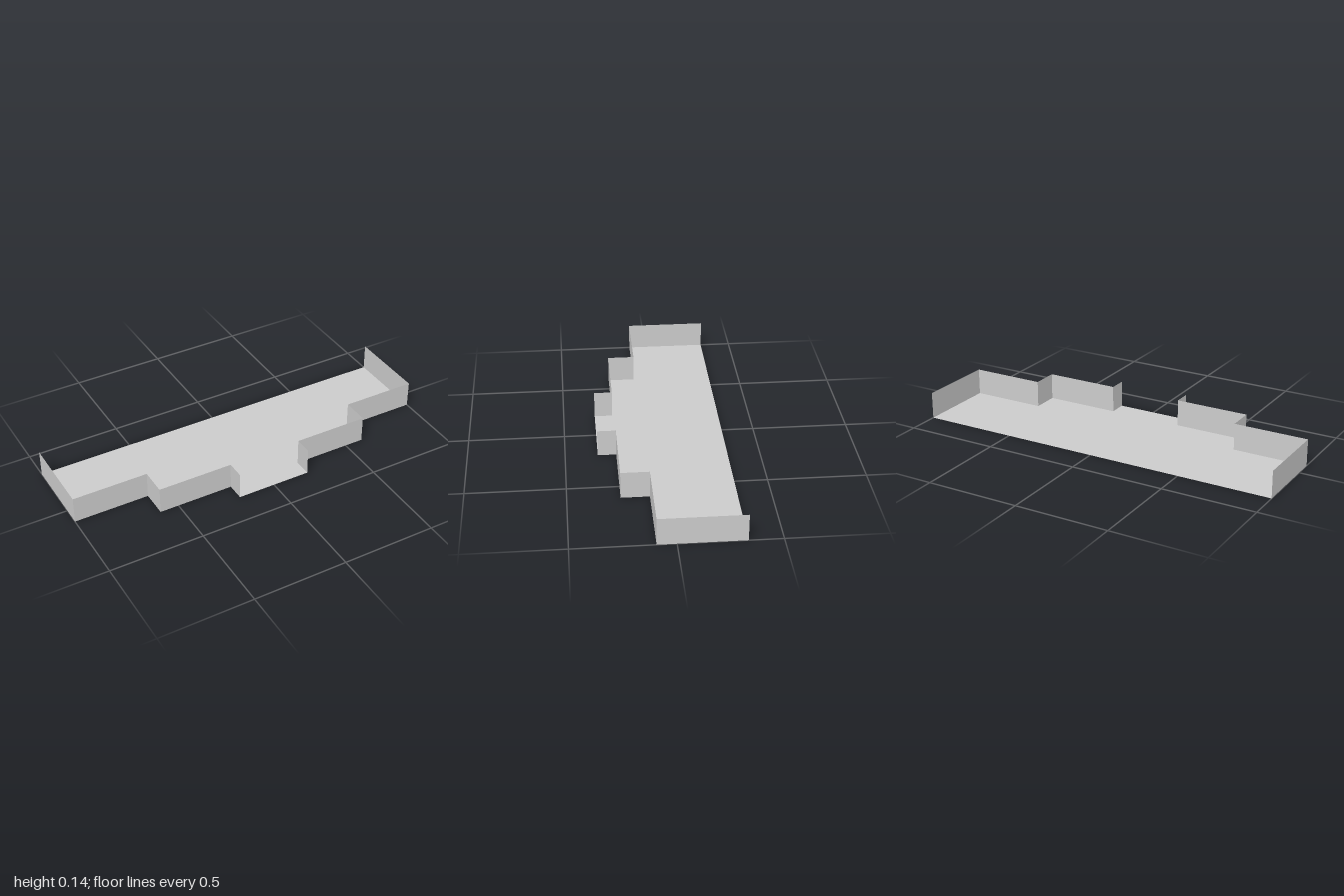
import * as THREE from 'three';

const HEIGHT = 0.143;
const BACK = -0.333;
// Stepped outline of the left half, from the back corner to the front gap: [x, z]
const OUTLINE = [[1, BACK], [1, 0.095], [0.6, 0.095], [0.6, 0.238], [0.2, 0.238], [0.2, 0.333]];
const WALL_NAMES = ['sideWall', 'outerFrontWall', 'outerReturnWall', 'innerFrontWall', 'entranceReturnWall'];

export function createModel() {
  const model = new THREE.Group();
  model.name = 'steppedBalcony';
  const material = new THREE.MeshStandardMaterial({
    color: 0xcccccc, flatShading: true, side: THREE.DoubleSide,
  });

  // Floor: the half outline followed by its mirror image
  const mirrored = OUTLINE.map(([x, z]) => [-x, z]).reverse();
  const points = [...OUTLINE, ...mirrored].map(([x, z]) => new THREE.Vector2(x, -z));
  const floorGeometry = new THREE.ShapeGeometry(new THREE.Shape(points));
  floorGeometry.rotateX(-Math.PI / 2);
  const floor = new THREE.Mesh(floorGeometry, material);
  floor.name = 'floor';
  model.add(floor);

  // Thin parapet walls along each outline segment, open at the back and the front centre
  for (const side of [1, -1]) {
    const parapet = new THREE.Group();
    parapet.name = side > 0 ? 'leftParapet' : 'rightParapet';
    WALL_NAMES.forEach((name, i) => {
      const [x0, z0] = OUTLINE[i];
      const [x1, z1] = OUTLINE[i + 1];
      const length = Math.hypot(x1 - x0, z1 - z0);
      const wall = new THREE.Mesh(new THREE.PlaneGeometry(length, HEIGHT), material);
      wall.name = name;
      wall.position.set(side * (x0 + x1) / 2, HEIGHT / 2, (z0 + z1) / 2);
      // Segments running along z face sideways, the others face the front
      wall.rotation.y = x0 === x1 ? side * Math.PI / 2 : 0;
      parapet.add(wall);
    });
    model.add(parapet);
  }
  return model;
}
